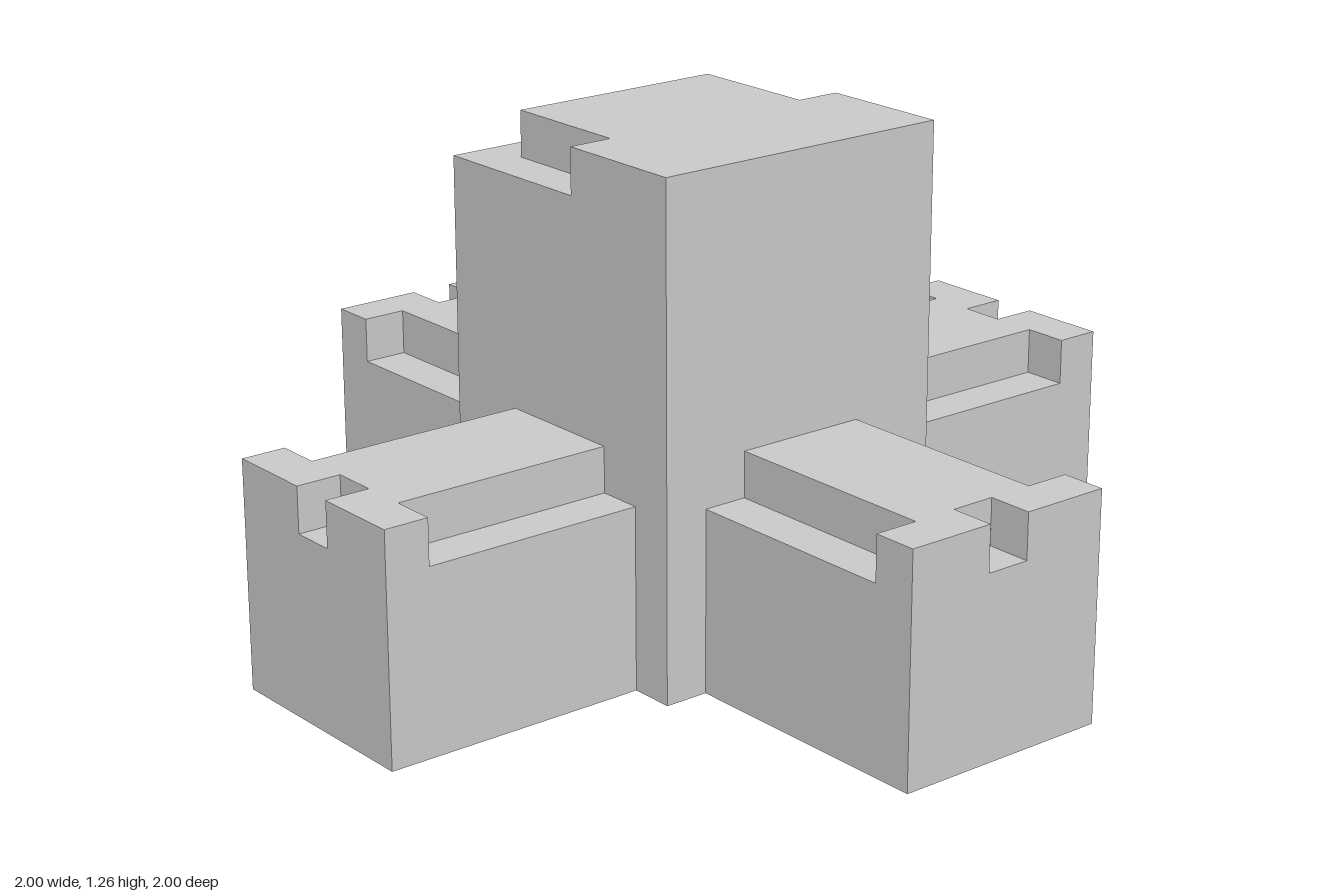
import * as THREE from 'three';

const U = 2 / 19; // grid unit: the model is 19 units wide
const material = new THREE.MeshStandardMaterial({ color: 0xcccccc, flatShading: true });

// Horizontal slab between two heights; half outline [x, z] is mirrored across x = 0
function slab(name, half, y0, y1) {
  const mirrored = half.map(([x, z]) => [-x, z]).reverse();
  const points = [...half, ...mirrored].map(([x, z]) => new THREE.Vector2(x * U, z * U));
  const geometry = new THREE.ExtrudeGeometry(new THREE.Shape(points), {
    depth: (y1 - y0) * U,
    bevelEnabled: false,
  });
  geometry.rotateX(Math.PI / 2).translate(0, y1 * U, 0);
  const mesh = new THREE.Mesh(geometry, material);
  mesh.name = name;
  return mesh;
}

// Arm pointing along +z, with side grooves and an end notch in its top layer
function createArm(name) {
  const arm = new THREE.Group();
  arm.name = name;
  arm.add(
    slab('armBody', [[2.5, 3.5], [2.5, 9.5]], 1, 5),
    slab('armCap', [[1.5, 3.5], [1.5, 8.5], [2.5, 8.5], [2.5, 9.5], [0.5, 9.5], [0.5, 8.5]], 5, 6),
  );
  return arm;
}

export function createModel() {
  const model = new THREE.Group();
  model.name = 'crossBlock';

  // Peg under the centre
  model.add(slab('bottomPeg', [[1.5, -1.5], [1.5, 1.5]], 0, 1));

  // Central tower, its top layer stepped in at the back and along the rear sides
  model.add(
    slab('tower', [[3.5, -3.5], [3.5, 3.5]], 1, 11),
    slab('towerCap', [[2.5, -2.5], [2.5, 0.5], [3.5, 0.5], [3.5, 3.5]], 11, 12),
  );

  // Four identical arms
  ['frontArm', 'leftArm', 'backArm', 'rightArm'].forEach((name, i) => {
    const arm = createArm(name);
    arm.rotation.y = (i * Math.PI) / 2;
    model.add(arm);
  });

  return model;
}
